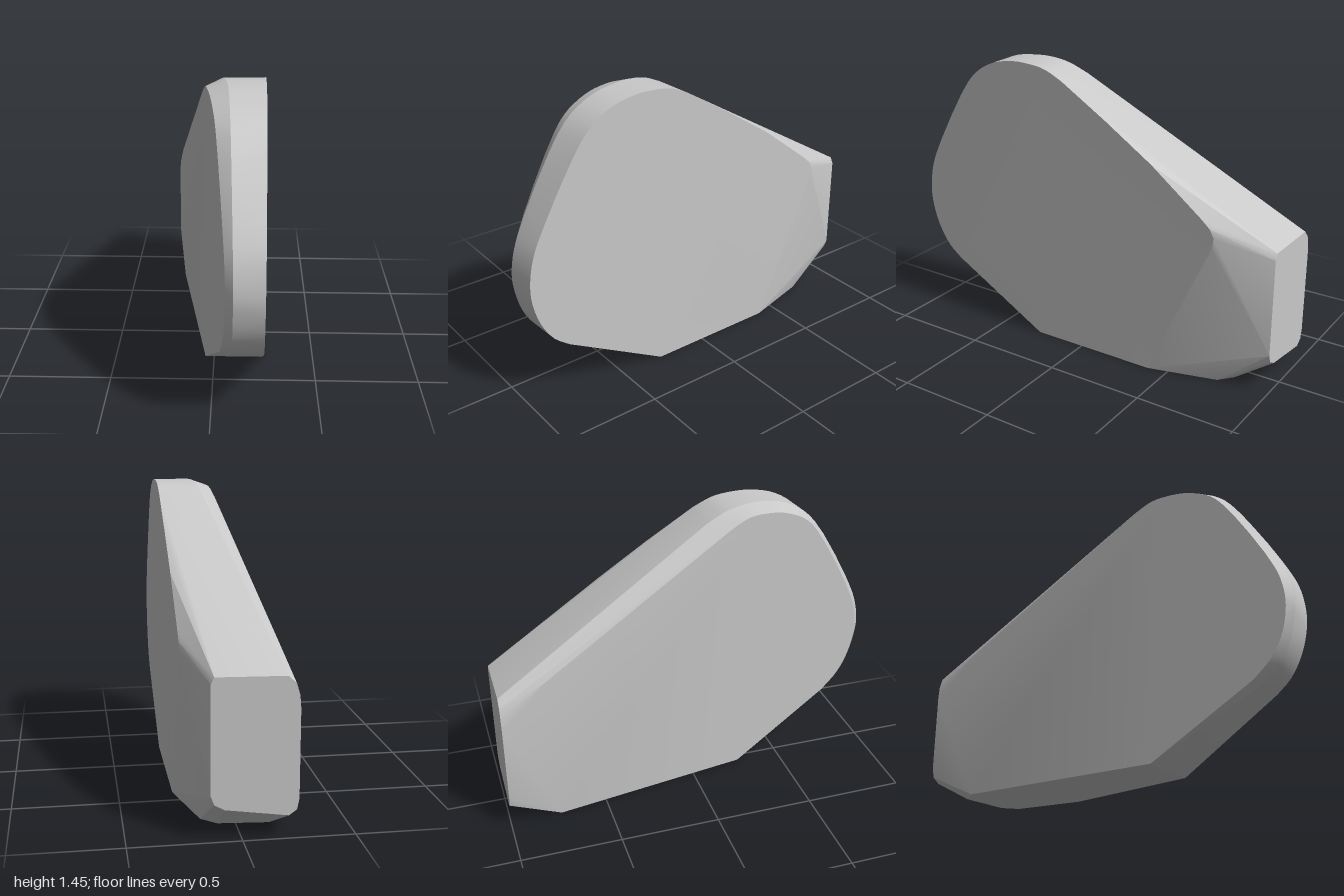
import * as THREE from 'three';
import { ConvexGeometry } from 'three/addons/geometries/ConvexGeometry.js';
import { mergeVertices, toCreasedNormals } from 'three/addons/utils/BufferGeometryUtils.js';

// The slanted side: x grows evenly from back to front
const slant = (z) => -0.245 + 0.158 * (z + 1);

// Smooth rounded outline through [z, y] pairs, placed at x = xAt(z)
function outline(pairs, xAt, steps = 40) {
  const curve = new THREE.CatmullRomCurve3(pairs.map(([z, y]) => new THREE.Vector3(0, y, z)));
  return curve.getPoints(steps).map((p) => new THREE.Vector3(xAt(p.z), p.y, p.z));
}

export function createModel() {
  const group = new THREE.Group();
  const grey = new THREE.MeshStandardMaterial({ color: 0xc8c8c8 });
  grey.name = 'lightGrey';

  // Rounded rim of the upright flat side
  const flatRim = outline([
    [0.8, 0.3], [0.88, 0.365], [0.945, 0.47], [0.98, 0.59], [0.985, 0.68], [0.965, 0.8],
    [0.92, 0.91], [0.7, 1.285], [0.62, 1.37], [0.52, 1.425], [0.4, 1.45], [0.3, 1.45],
    [0.2, 1.435], [0.1, 1.39]], () => 0.24);

  // Widest rim, just inside the slanted side
  const wideRim = outline([
    [0.81, 0.3], [0.9, 0.38], [0.96, 0.48], [0.993, 0.6], [1, 0.68], [0.985, 0.78],
    [0.94, 0.9], [0.72, 1.28], [0.62, 1.38], [0.5, 1.435], [0.4, 1.45], [0.3, 1.45],
    [0.2, 1.43], [0.1, 1.385]], (z) => slant(z) + 0.03 + 0.06 * Math.min(1, Math.max(0, (1 - z) / 0.6)));

  // Rim of the slanted side
  const slantRim = outline([
    [0.79, 0.31], [0.88, 0.395], [0.94, 0.5], [0.97, 0.64], [0.965, 0.74], [0.93, 0.86],
    [0.7, 1.265], [0.62, 1.35], [0.5, 1.405], [0.4, 1.42], [0.3, 1.415], [0.2, 1.37]], slant);

  // Straight runs and corners, as [x, y, z]
  const corners = [
    // flat side towards the back
    [0.24, 0, 0.27], [0.24, 1.235, -0.15], [0.24, 1.07, -0.4], [0.24, 0.86, -0.67],
    [0.24, 0.82, -0.715], [0.24, 0.78, -0.735], [0.24, 0.73, -0.73], [0.24, 0, -0.4],
    // slanted side towards the back
    [slant(0.27), 0, 0.27], [slant(-0.78), 0.78, -0.78], [slant(-0.74), 0, -0.74],
    // underside at the back
    [0.15, 0, -0.74], [0.08, 0, -0.8], [-0.15, 0, -0.82],
    // rounded end face
    [0.14, 0.7, -1], [0.125, 0.73, -1], [-0.19, 0.725, -1], [-0.225, 0.69, -1],
    [-0.24, 0.64, -1], [-0.245, 0.58, -1], [-0.245, 0.18, -1], [-0.235, 0.13, -1],
    [-0.2, 0.105, -1], [0.08, 0.145, -1], [0.125, 0.17, -1], [0.14, 0.21, -1],
  ].map((p) => new THREE.Vector3(...p));

  // Solid body wrapped around the rims, with sharp edges kept
  let geometry = new ConvexGeometry([...flatRim, ...wideRim, ...slantRim, ...corners]);
  geometry.deleteAttribute('normal');
  geometry = toCreasedNormals(mergeVertices(geometry, 1e-4), 0.28);

  const body = new THREE.Mesh(geometry, grey);
  body.name = 'wedgeBody';
  group.add(body);
  return group;
}
